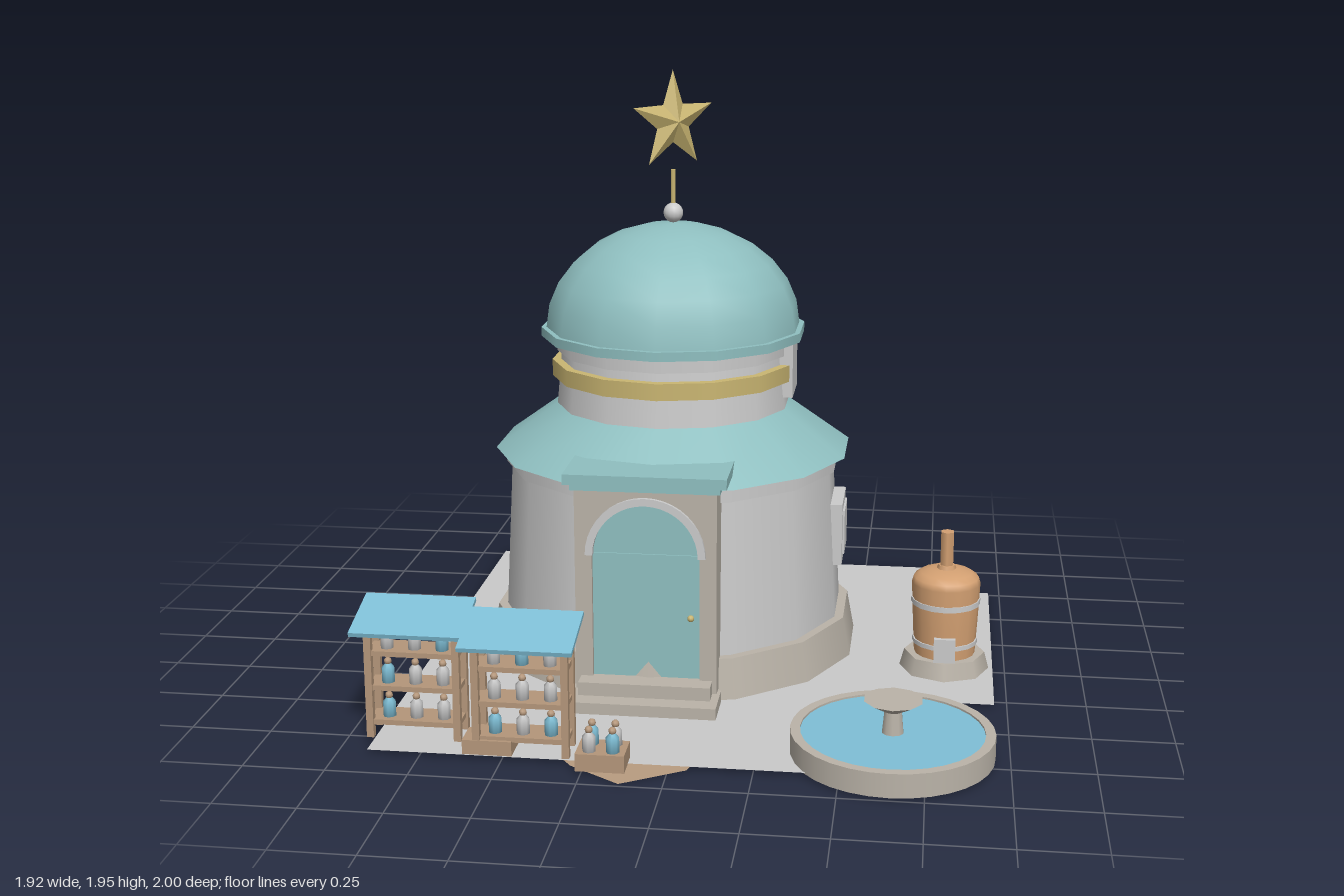
import * as THREE from 'three';

const mat = (name, color, side = THREE.FrontSide) => {
  const m = new THREE.MeshStandardMaterial({ color, side });
  m.name = name;
  return m;
};

export function createModel() {
  const root = new THREE.Group();
  root.name = 'domedShop';
  const wall = mat('wallGrey', 0xcbcbcb);
  const paving = mat('pavingGrey', 0xcacaca, THREE.DoubleSide);
  const stone = mat('stoneBeige', 0xbab3a8);
  const teal = mat('roofTeal', 0x8fbfc0);
  const gold = mat('gold', 0xcab672);
  gold.flatShading = false;
  const copper = mat('copper', 0xd3a072);
  const blue = mat('waterBlue', 0x7fbfd6);
  const wood = mat('wood', 0xb4967a);
  const earth = mat('earthBrown', 0xb89c80, THREE.DoubleSide);

  const add = (parent, name, geo, m, x = 0, y = 0, z = 0) => {
    const mesh = new THREE.Mesh(geo, m);
    mesh.name = name;
    mesh.position.set(x, y, z);
    parent.add(mesh);
    return mesh;
  };
  const group = (name, x = 0, z = 0) => {
    const g = new THREE.Group();
    g.name = name;
    g.position.set(x, 0, z);
    root.add(g);
    return g;
  };
  // Boxes and tapered cylinders are given by their limits
  const box = (p, name, m, x0, x1, y0, y1, z0, z1) =>
    add(p, name, new THREE.BoxGeometry(x1 - x0, y1 - y0, z1 - z0), m, (x0 + x1) / 2, (y0 + y1) / 2, (z0 + z1) / 2);
  const drum = (p, name, m, rBottom, rTop, y0, y1, sides, x = 0, z = 0) =>
    add(p, name, new THREE.CylinderGeometry(rTop, rBottom, y1 - y0, sides), m, x, (y0 + y1) / 2, z);
  const lathe = (pts, sides) => new THREE.LatheGeometry(pts.map(([r, y]) => new THREE.Vector2(r, y)), sides);
  const polygon = (pts) => new THREE.Shape(pts.map(([x, z]) => new THREE.Vector2(x, -z)));

  // Paving with a side bay, and the earth patch beneath it
  const paved = polygon([[-0.91, -1], [-0.91, 0.87], [0.755, 0.87], [0.755, 0.3], [0.96, 0.3],
    [0.96, -0.74], [0.755, -0.74], [0.755, -1]]);
  add(root, 'paving', new THREE.ShapeGeometry(paved), paving, 0, 0.015).rotation.x = -Math.PI / 2;
  const patch = polygon([[0.055, 0.87], [0.13, 0.6], [0.03, 0.43], [-0.2, 0.33], [-0.35, 0.45],
    [-0.42, 0.71], [-0.29, 0.88], [-0.13, 0.985]]);
  add(root, 'earthPatch', new THREE.ShapeGeometry(patch), earth, 0, 0.003).rotation.x = -Math.PI / 2;

  // Round building, stacked from the ground up
  const N = 14;
  const tower = group('tower', -0.13, -0.21);
  drum(tower, 'plinth', stone, 0.63, 0.605, 0.012, 0.145, N);
  drum(tower, 'lowerWall', wall, 0.575, 0.548, 0.145, 0.65, N);
  drum(tower, 'eaveBand', wall, 0.565, 0.565, 0.65, 0.7, N);
  drum(tower, 'skirtRoof', teal, 0.6, 0.392, 0.7, 0.85, N);
  drum(tower, 'upperWall', wall, 0.392, 0.375, 0.85, 1.03, N);
  drum(tower, 'goldBand', gold, 0.407, 0.407, 0.945, 1.0, N);
  drum(tower, 'domeCollar', wall, 0.39, 0.39, 1.03, 1.08, N);
  drum(tower, 'domeRim', teal, 0.442, 0.442, 1.08, 1.11, N);
  const domePts = [];
  for (let i = 0; i <= 7; i++) {
    const a = (i / 7) * Math.PI / 2;
    domePts.push([Math.max(0.425 * Math.cos(a), 0), 1.11 + 0.345 * Math.sin(a)]);
  }
  add(tower, 'dome', lathe(domePts, N), teal);
  add(tower, 'finialBall', new THREE.SphereGeometry(0.033, 14, 10), wall, 0, 1.487);
  drum(tower, 'finialRod', gold, 0.008, 0.008, 1.51, 1.63, 8);

  // Faceted five-pointed star
  const tri = [];
  const rim = (i) => {
    const r = i % 2 ? 0.068 : 0.168, a = Math.PI / 2 + i * Math.PI / 5;
    return [r * Math.cos(a), r * Math.sin(a), 0];
  };
  for (let i = 0; i < 10; i++) {
    tri.push(0, 0, 0.034, ...rim(i), ...rim(i + 1));
    tri.push(0, 0, -0.034, ...rim(i + 1), ...rim(i));
  }
  const starGeo = new THREE.BufferGeometry();
  starGeo.setAttribute('position', new THREE.Float32BufferAttribute(tri, 3));
  starGeo.computeVertexNormals();
  add(tower, 'star', starGeo, gold, 0, 1.787).rotation.y = Math.PI / 4;

  // Side windows
  box(root, 'upperWindow', wall, 0.18, 0.278, 0.89, 1.07, -0.31, -0.12);
  box(root, 'lowerWindow', wall, 0.35, 0.45, 0.32, 0.53, -0.32, -0.105);
  box(root, 'lowerWindowPane', wall, 0.45, 0.457, 0.35, 0.5, -0.29, -0.135);

  // Porch with arched doorway
  const porch = group('porch', -0.135);
  const archPath = (path, r, y0, spring) => {
    path.moveTo(-r, y0);
    path.lineTo(r, y0);
    path.lineTo(r, spring);
    path.absarc(0, spring, r, 0, Math.PI, false);
    path.lineTo(-r, y0);
    return path;
  };
  const extrude = (shape, depth) => new THREE.ExtrudeGeometry(shape, { depth, bevelEnabled: false, curveSegments: 10 });
  const frame = new THREE.Shape();
  frame.moveTo(-0.224, 0.012);
  frame.lineTo(0.224, 0.012);
  frame.lineTo(0.224, 0.73);
  frame.lineTo(-0.224, 0.73);
  frame.holes.push(archPath(new THREE.Path(), 0.17, 0.09, 0.5));
  add(porch, 'doorFrame', extrude(frame, 0.23), stone, 0, 0, 0.18);
  const trim = new THREE.Shape();
  trim.absarc(0, 0.5, 0.19, 0, Math.PI, false);
  trim.absarc(0, 0.5, 0.166, Math.PI, 0, true);
  add(porch, 'archTrim', extrude(trim, 0.02), wall, 0, 0, 0.402);
  add(porch, 'door', extrude(archPath(new THREE.Shape(), 0.17, 0.09, 0.5), 0.02), teal, 0, 0, 0.375);
  box(porch, 'doorRail', teal, -0.168, 0.168, 0.495, 0.503, 0.395, 0.4);
  add(porch, 'doorKnob', new THREE.SphereGeometry(0.011, 8, 6), gold, 0.142, 0.3, 0.408);
  box(porch, 'cornice', teal, -0.255, 0.258, 0.732, 0.765, 0.2, 0.44);
  box(porch, 'corniceMoulding', teal, -0.236, 0.236, 0.71, 0.732, 0.2, 0.423);
  box(porch, 'lowerStep', stone, -0.235, 0.235, 0.012, 0.052, 0.38, 0.53);
  box(porch, 'upperStep', stone, -0.208, 0.21, 0.052, 0.095, 0.38, 0.47);

  // Copper still
  const still = group('still', 0.8, -0.012);
  drum(still, 'stillBase', stone, 0.148, 0.132, 0.01, 0.07, 8);
  add(still, 'stillBody', lathe([[0.1, 0.07], [0.106, 0.18], [0.112, 0.31], [0.106, 0.33], [0.085, 0.345],
    [0.05, 0.356], [0, 0.36]], 16), copper);
  drum(still, 'lowerHoop', wall, 0.107, 0.107, 0.105, 0.12, 16);
  drum(still, 'upperHoop', wall, 0.113, 0.113, 0.24, 0.258, 16);
  drum(still, 'chimneyCollar', copper, 0.034, 0.028, 0.35, 0.37, 8);
  drum(still, 'chimney', copper, 0.024, 0.024, 0.35, 0.483, 6);
  box(still, 'fireDoor', wall, -0.035, 0.035, 0.07, 0.15, 0.08, 0.118);

  // Fountain
  const fountain = group('fountain', 0.65, 0.69);
  drum(fountain, 'basinFloor', stone, 0.3, 0.3, 0.008, 0.02, 32);
  const basin = [[0.306, 0.01], [0.306, 0.084], [0.306, 0.084], [0.276, 0.084], [0.276, 0.084], [0.276, 0.03]];
  add(fountain, 'basinRim', lathe(basin, 32), stone);
  drum(fountain, 'water', blue, 0.277, 0.277, 0.02, 0.078, 32);
  drum(fountain, 'pedestal', stone, 0.034, 0.026, 0.07, 0.155, 10);
  drum(fountain, 'bowl', stone, 0.025, 0.09, 0.145, 0.182, 10);

  // Bottles with a neck and stopper
  const bottleGeo = lathe([[0, 0], [0.02, 0], [0.02, 0.045], [0.009, 0.058], [0.009, 0.064]], 8);
  const corkGeo = new THREE.SphereGeometry(0.012, 8, 6);
  const bottle = (p, isBlue, x, y, z) => {
    add(p, 'bottle', bottleGeo, isBlue ? blue : wall, x, y, z);
    add(p, 'stopper', corkGeo, wood, x, y + 0.066, z);
  };

  // Two market stalls: posts, shelves, bottles and a sloping awning
  const stall = (name, x, z, rows) => {
    const g = group(name, x, z);
    for (const sx of [-1, 1]) for (const sz of [-1, 1]) {
      box(g, 'post', wood, sx * 0.135 - 0.011, sx * 0.135 + 0.011, 0.015, sz > 0 ? 0.37 : 0.395,
        sz * 0.046 - 0.011, sz * 0.046 + 0.011);
    }
    rows.forEach((row, i) => {
      const y = 0.055 + i * 0.11;
      box(g, 'shelf', wood, -0.14, 0.14, y, y + 0.016, -0.05, 0.05);
      [...row].forEach((c, j) => bottle(g, c === 'b', (j - 1) * 0.085, y + 0.016, 0.012));
    });
    add(g, 'awning', new THREE.BoxGeometry(0.342, 0.014, 0.208), blue, 0, 0.395, 0.02).rotation.x = 0.27;
  };
  stall('leftStall', -0.79, 0.725, ['bgg', 'bgg', 'ggb']);
  stall('rightStall', -0.443, 0.805, ['bgb', 'ggg', 'gbg']);

  // Crates beside the stalls
  box(root, 'crate', wood, -0.62, -0.47, 0.015, 0.06, 0.77, 0.865);
  const crate = group('bottleCrate', -0.193, 0.88);
  box(crate, 'crateBox', wood, -0.073, 0.073, 0.012, 0.066, -0.055, 0.055);
  for (const sx of [-1, 1]) for (const sz of [-1, 1]) {
    bottle(crate, sx * sz > 0, sx * 0.035, 0.066, sz * 0.026);
  }
  return root;
}
